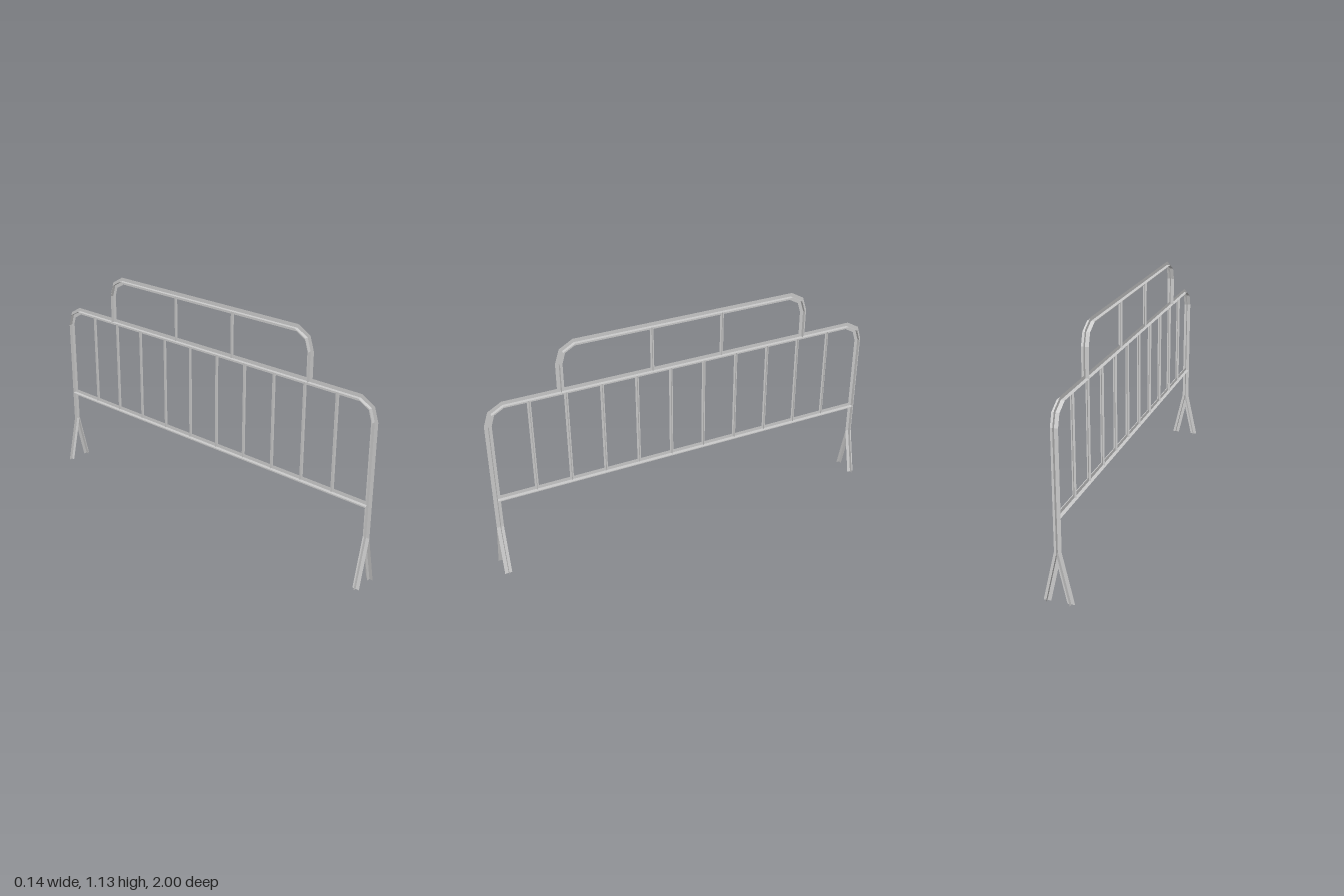
import * as THREE from 'three';

const T = 0.035; // main tube width
const B = 0.019; // thin bar width
const RAIL = 0.886; // centre line of main rail
const LOW = 0.399; // centre line of lower rail
const TOP = 1.117; // centre line of upper hoop
const POST = 0.9825; // centre line of posts
const FORK = 0.24; // height where the feet split

const v = (x, y, z) => new THREE.Vector3(x, y, z);
const X = v(1, 0, 0);
const Z = v(0, 0, 1);

export function createModel() {
  const group = new THREE.Group();
  const mat = new THREE.MeshStandardMaterial({ color: 0xcccccc, flatShading: true, side: THREE.DoubleSide });

  // Mitred sideways direction at point i of a path lying in the plane of the normal
  const mitre = (path, i, normal) => {
    const a = path[Math.max(i - 1, 0)], b = path[Math.min(i + 1, path.length - 1)];
    const into = (i > 0 ? path[i].clone().sub(a) : b.clone().sub(path[i])).normalize();
    const out = (i < path.length - 1 ? b.clone().sub(path[i]) : into.clone()).normalize();
    const along = into.clone().add(out).normalize();
    return normal.clone().cross(along).divideScalar(along.dot(into));
  };

  // Flat strip along a path, widened along one direction per point
  const strip = (path, sides, width) => {
    const pos = [], index = [];
    path.forEach((p, i) => {
      for (const s of [-0.5, 0.5]) pos.push(...p.clone().addScaledVector(sides[i], s * width).toArray());
      const k = 2 * i;
      if (i > 0) index.push(k - 2, k - 1, k, k - 1, k + 1, k);
    });
    const geo = new THREE.BufferGeometry();
    geo.setAttribute('position', new THREE.Float32BufferAttribute(pos, 3));
    geo.setIndex(index);
    geo.computeVertexNormals();
    return geo;
  };

  // Bar made of two crossing strips; a fixed side gives level ends on a slanted bar
  const crossBar = (name, path, width, normal, side) => {
    const bar = new THREE.Group();
    bar.name = name;
    const flat = path.map((p, i) => side ?? mitre(path, i, normal));
    bar.add(new THREE.Mesh(strip(path, flat, width), mat));
    bar.add(new THREE.Mesh(strip(path, path.map(() => normal), width), mat));
    group.add(bar);
  };

  // Hoop with two-step bends at both corners
  const hoop = (name, half, foot, top) => {
    const end = [[half, foot], [half, top - 0.091], [half - 0.019, top - 0.032], [half - 0.076, top]];
    const path = [...end, ...end.map(([z, y]) => [-z, y]).reverse()];
    crossBar(name, path.map(([z, y]) => v(0, y, z)), T, X);
  };

  const upright = (name, z, y0, y1) => crossBar(name, [v(0, y0, z), v(0, y1, z)], B, X);

  hoop('mainFrame', POST, FORK, RAIL);
  hoop('upperHoop', 0.635, RAIL, TOP);
  crossBar('lowerRail', [v(0, LOW, -POST), v(0, LOW, POST)], T, X);

  // Infill bars
  for (let i = 0; i < 10; i++) upright('infillBar', (i - 4.5) * 0.175, LOW, RAIL);
  for (const s of [-1, 1]) upright('upperBar', s * 0.182, RAIL, TOP);

  // Forked feet
  for (const z of [-POST, POST]) {
    for (const s of [-1, 1]) crossBar('forkedFoot', [v(0, FORK, z), v(s * 0.0545, 0, z)], T, Z, X);
  }

  return group;
}
